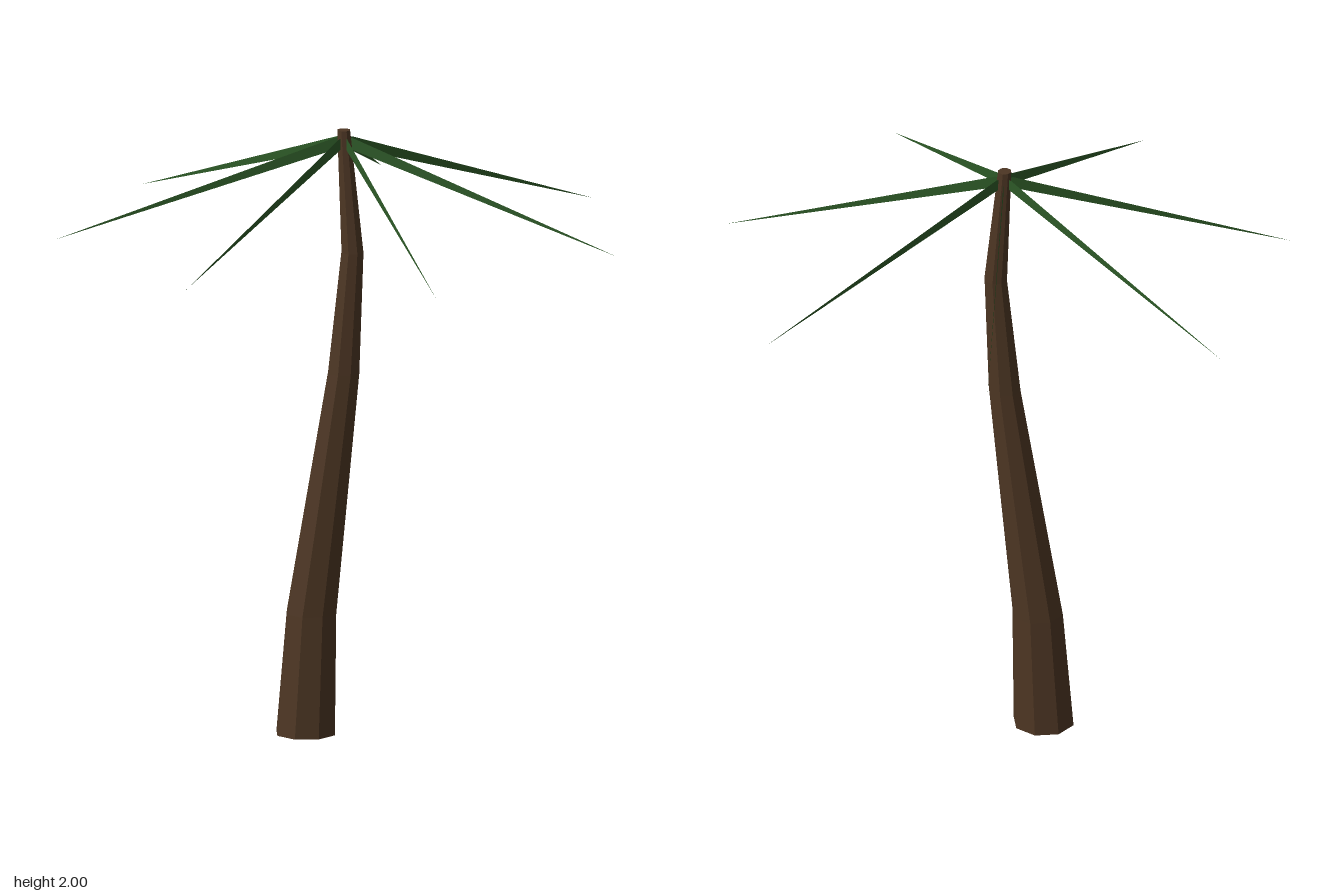
import * as THREE from 'three';

export function createModel() {
  const model = new THREE.Group();
  model.name = 'palmTree';

  const bark = new THREE.MeshStandardMaterial({ color: 0x4d3623 });
  bark.name = 'bark brown';
  bark.flatShading = true;
  const green = new THREE.MeshStandardMaterial({ color: 0x2d5a27 });
  green.name = 'frond green';
  green.side = THREE.DoubleSide;

  // Trunk: tapered octagonal column whose rings are shifted along a bend
  const height = 2, rings = 5;
  const bend = [-0.18, -0.16, -0.105, -0.05, -0.02, -0.05];
  const trunkGeometry = new THREE.CylinderGeometry(0.022, 0.1, height, 8, rings);
  trunkGeometry.translate(0, height / 2, 0);
  const position = trunkGeometry.attributes.position;
  for (let i = 0; i < position.count; i++) {
    const ring = Math.round((position.getY(i) / height) * rings);
    position.setX(i, position.getX(i) + bend[ring]);
  }
  trunkGeometry.computeVertexNormals();
  const trunk = new THREE.Mesh(trunkGeometry, bark);
  trunk.name = 'trunk';
  model.add(trunk);

  // Fronds: slim upright blades drooping to a point, evenly spread around the top
  const blade = new THREE.Shape([
    new THREE.Vector2(0, -0.025),
    new THREE.Vector2(0.93, -0.31),
    new THREE.Vector2(0.03, 0.005),
    new THREE.Vector2(0, 0.005),
  ]);
  const bladeGeometry = new THREE.ShapeGeometry(blade);
  const crown = new THREE.Group();
  crown.name = 'crown';
  crown.position.set(-0.048, 1.97, 0);
  const count = 7;
  for (let i = 0; i < count; i++) {
    const frond = new THREE.Mesh(bladeGeometry, green);
    frond.name = `frond${i + 1}`;
    frond.rotation.y = (i / count) * Math.PI * 2;
    crown.add(frond);
  }
  model.add(crown);

  return model;
}
